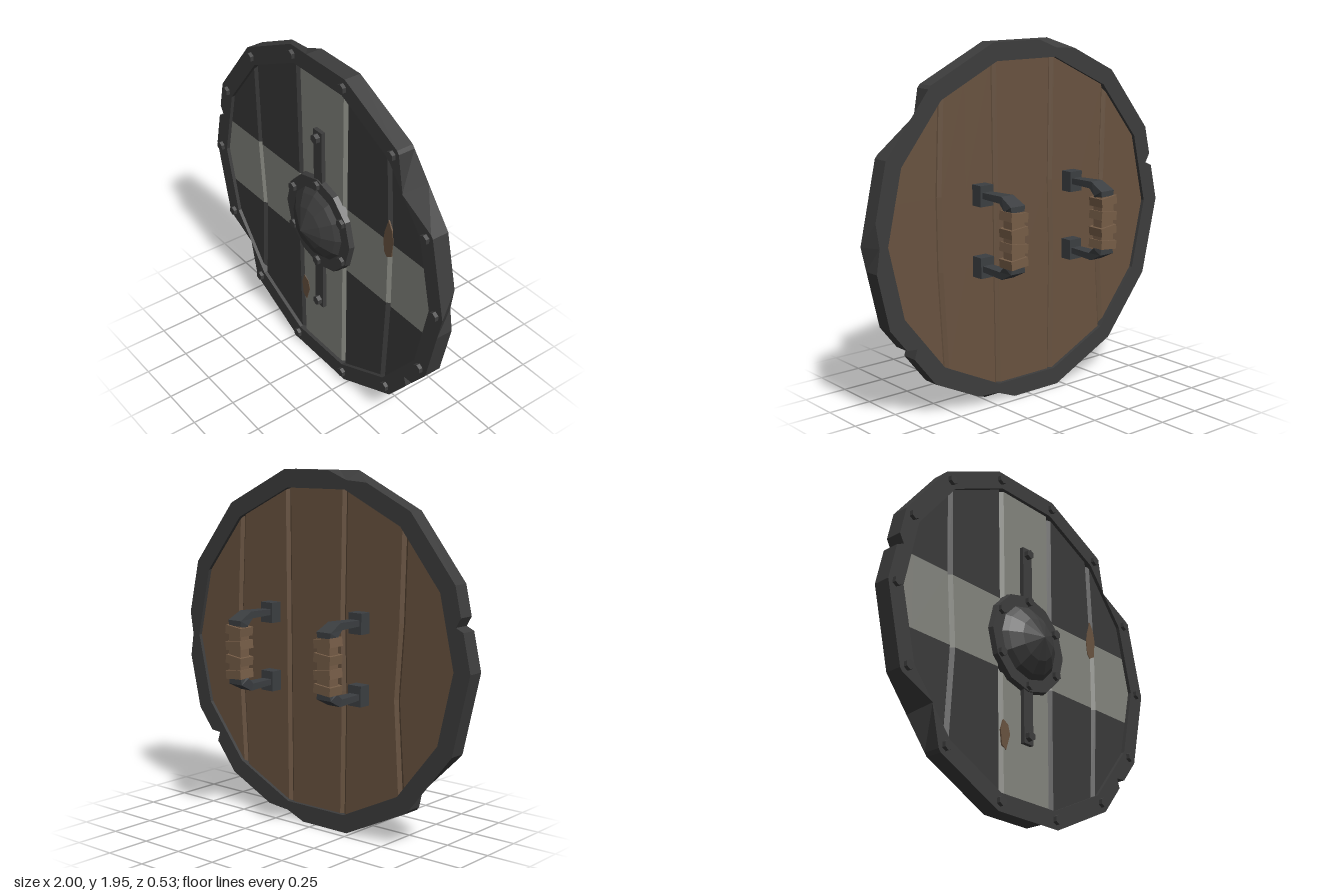
import * as THREE from 'three';

const CY = 0.975; // height of the shield centre
const STEP = Math.PI / 7; // 14-sided outline
const mat = (name, color) => {
  const m = new THREE.MeshStandardMaterial({ color });
  m.name = name;
  return m;
};

// Gives a geometry hard facets
function facet(geometry) {
  const g = geometry.index ? geometry.toNonIndexed() : geometry;
  g.computeVertexNormals();
  return g;
}

function fromQuads(quads) {
  const pos = [];
  for (const [a, b, c, d] of quads) pos.push(...a, ...b, ...c, ...a, ...c, ...d);
  const g = new THREE.BufferGeometry();
  g.setAttribute('position', new THREE.Float32BufferAttribute(pos, 3));
  g.computeVertexNormals();
  return g;
}

// Skins a row of four-cornered rings
function loft(rings, closed) {
  const quads = [];
  const n = rings.length;
  for (let i = 0; i < (closed ? n : n - 1); i++) {
    const a = rings[i], b = rings[(i + 1) % n];
    for (let j = 0; j < 4; j++) {
      const k = (j + 1) % 4;
      quads.push([a[j], a[k], b[k], b[j]]);
    }
  }
  if (!closed) quads.push([...rings[0]].reverse(), rings[n - 1]);
  return fromQuads(quads);
}

// Point on the 14-gon outline; t counts corners
function outline(t, scale, z) {
  const k = Math.floor(t), f = t - k;
  const at = (fn) => fn(k * STEP) * (1 - f) + fn((k + 1) * STEP) * f;
  return [at(Math.cos) * scale, at(Math.sin) * scale, z];
}

// Rim ring with chipped edges: [t, front scale, back scale]
function rimGeometry() {
  const chips = [
    [1.05, 1, 1], [1.55, 0.897, 1], [1.95, 1, 1],
    [8.05, 1, 1], [8.5, 0.897, 1], [8.95, 1, 1],
    [6.366, 1, 1], [6.46, 0.96, 0.96], [6.53, 1, 1],
    [12.475, 1, 1], [12.545, 0.952, 0.952], [12.64, 1, 1],
  ];
  for (const t of [0, 4, 11]) chips.push([(t + 13.7) % 14, 1, 1], [t, 1, 0.95], [t + 0.3, 1, 1]);
  for (let t = 0; t < 14; t++) if (!chips.some((c) => c[0] === t)) chips.push([t, 1, 1]);
  chips.sort((a, b) => a[0] - b[0]);
  return loft(chips.map(([t, f, b]) => [
    outline(t, f, 0.145), outline(t, b, 0.05), outline(t, 0.9, 0.05), outline(t, 0.9, 0.145),
  ]), true);
}

// Half height of the board at x; its edge is tucked into the rim
function halfHeight(x) {
  let h = 1;
  for (let k = 0; k < 7; k++) {
    const a = (k + 0.5) * STEP;
    h = Math.min(h, (0.892 - Math.abs(x) * Math.cos(a)) / Math.sin(a));
  }
  return Math.max(h, 0.25);
}

// Planked board: columns of quads, with the cross painted on the front
function boardGeometries() {
  const flat = (x) => ({ x: [x, x, x, x], front: 0.125, back: 0.07 });
  const groove = (...xs) => [-0.019, 0, 0.019].map((d) => ({
    x: xs.map((x) => x + d),
    front: d ? 0.125 : 0.105,
    back: d ? 0.07 : 0.085,
    seam: !d,
  }));
  const columns = [
    flat(-0.9), flat(-0.82),
    ...groove(-0.575, -0.54, -0.567, -0.58), flat(-0.4),
    ...groove(-0.182, -0.19, -0.178, -0.188), flat(0),
    ...groove(0.193, 0.2, 0.203, 0.21), flat(0.4),
    ...groove(0.54, 0.57, 0.573, 0.55),
    flat(0.82), flat(0.9),
  ];
  const corner = (c, r, side) => {
    const x = c.x[r], h = halfHeight(x);
    return [x, [-h, -0.195, 0.205, h][r], c[side]];
  };
  const dark = [], pale = [], wood = [];
  let plank = 0;
  for (let i = 0; i < columns.length - 1; i++) {
    const a = columns[i], b = columns[i + 1];
    if (a.seam) plank++;
    for (let r = 0; r < 3; r++) {
      const quad = (side) => [corner(a, r, side), corner(b, r, side), corner(b, r + 1, side), corner(a, r + 1, side)];
      (r === 1 || plank === 2 ? pale : dark).push(quad('front'));
      wood.push(quad('back').reverse());
    }
  }
  return [dark, pale, wood].map(fromQuads);
}

export function createModel() {
  const iron = mat('dark iron', 0x3d3d3d);
  const darkPaint = mat('dark paint', 0x3a3a3a);
  const palePaint = mat('pale grey paint', 0x84857e);
  const wood = mat('brown wood', 0x695340);
  const leather = mat('leather wrap', 0x765d47);
  const handleIron = mat('handle iron', 0x3c3f42);

  const model = new THREE.Group();
  const shield = new THREE.Group();
  shield.name = 'shield';
  shield.position.y = CY;
  model.add(shield);

  const add = (parent, name, geometry, material, x = 0, y = 0, z = 0) => {
    const m = new THREE.Mesh(geometry, material);
    m.name = name;
    m.position.set(x, y, z);
    parent.add(m);
    return m;
  };

  // Rim and planks
  add(shield, 'rim', rimGeometry(), iron);
  const [dark, pale, back] = boardGeometries();
  add(shield, 'darkPlanks', dark, darkPaint);
  add(shield, 'paleCross', pale, palePaint);
  add(shield, 'boardBack', back, wood);

  // Bare wood where the paint has chipped off
  const chip = (points) => {
    const shape = new THREE.Shape(points.map(([x, y]) => new THREE.Vector2(x, y)));
    const g = new THREE.ExtrudeGeometry(shape, { depth: 0.008, bevelEnabled: false });
    add(shield, 'paintChip', facet(g), wood, 0, -CY, 0.12);
  };
  chip([[0.55, 1.08], [0.585, 1.1], [0.597, 1.2], [0.585, 1.26], [0.557, 1.31], [0.53, 1.23], [0.52, 1.17], [0.53, 1.1]]);
  chip([[-0.15, 0.34], [-0.12, 0.43], [-0.135, 0.48], [-0.17, 0.5], [-0.19, 0.44], [-0.18, 0.36]]);

  // Strap and domed boss
  add(shield, 'strap', facet(new THREE.BoxGeometry(0.07, 1.145, 0.038)), iron, 0, 0.003, 0.129);
  const plate = new THREE.CylinderGeometry(0.278, 0.288, 0.04, 12).rotateX(Math.PI / 2);
  add(shield, 'bossPlate', facet(plate), iron, 0, 0, 0.134);
  const profile = [[0.215, 0], [0.185, 0.03], [0.12, 0.072], [0, 0.118]].map((p) => new THREE.Vector2(...p));
  add(shield, 'bossDome', facet(new THREE.LatheGeometry(profile, 12).rotateX(Math.PI / 2)), iron, 0, 0, 0.149);

  // Rivets
  const rivet = facet(new THREE.CylinderGeometry(0.026, 0.028, 0.03, 6).rotateX(Math.PI / 2));
  const addRivet = (x, y, z) => add(shield, 'rivet', rivet, iron, x, y, z);
  for (let t = 0; t < 14; t++) {
    const [x, y] = outline(t, 0.947, 0);
    addRivet(x, y, 0.15);
  }
  for (let k = 0; k < 6; k++) {
    const a = Math.PI / 6 + (k * Math.PI) / 3;
    addRivet(Math.cos(a) * 0.245, Math.sin(a) * 0.245, 0.158);
  }
  for (const y of [0.535, -0.53]) addRivet(0, y, 0.158);

  // Bent handle arm: outer y, z, inner y, z, half width
  const arm = loft([
    [0.212, 0.01, 0.18, 0.01, 0.03],
    [0.218, -0.165, 0.18, -0.15, 0.04],
    [0.175, -0.25, 0.145, -0.195, 0.047],
    [0.13, -0.25, 0.125, -0.19, 0.04],
  ].map(([y, z, v, w, h]) => [[h, y, z], [h, v, w], [-h, v, w], [-h, y, z]]));
  const foot = facet(new THREE.BoxGeometry(0.085, 0.112, 0.075));
  const core = facet(new THREE.BoxGeometry(0.085, 0.29, 0.066));
  const band = facet(new THREE.BoxGeometry(0.11, 0.047, 0.1));

  for (const side of [1, -1]) {
    const handle = new THREE.Group();
    handle.name = side > 0 ? 'leftHandle' : 'rightHandle';
    handle.position.x = side * 0.313;
    shield.add(handle);
    for (const turn of [0, Math.PI]) {
      const bracket = new THREE.Group();
      bracket.name = 'bracket';
      bracket.rotation.z = turn;
      add(bracket, 'foot', foot, handleIron, 0, 0.192, 0.038);
      add(bracket, 'arm', arm, handleIron);
      handle.add(bracket);
    }
    add(handle, 'grip', core, leather, 0, 0, -0.219);
    [0.12, 0.04, -0.042, -0.12].forEach((y, i) => {
      const wrap = add(handle, 'gripWrap', band, leather, 0, y, -0.216);
      wrap.rotation.z = side * (i % 2 ? -0.1 : 0.12);
    });
  }
  return model;
}
